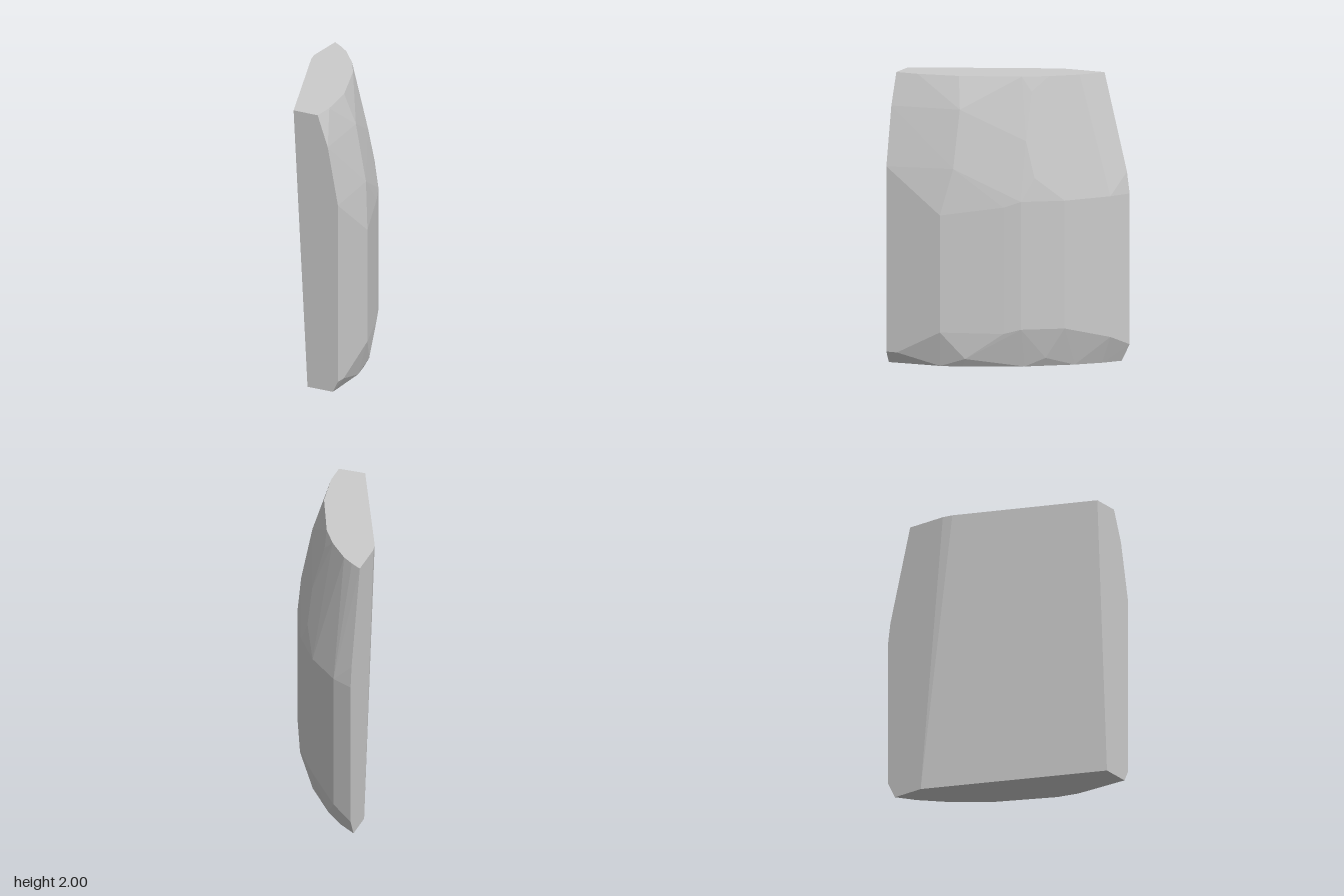
import * as THREE from 'three';
import { ConvexGeometry } from 'three/addons/geometries/ConvexGeometry.js';

export function createModel() {
  const group = new THREE.Group();
  const points = [];
  const add = (x, y, z) => points.push(new THREE.Vector3(x, y, z));

  // flat outline of the top, [x, z]
  const top = [
    [0.03, 0.74], [0.22, 0.74], [0.22, 0.58], [0.17, 0.29], [0.01, -0.11], [-0.09, -0.27],
    [-0.23, -0.435], [-0.31, -0.5], [-0.385, -0.55], [-0.385, -0.27], [-0.37, -0.2],
  ];
  top.forEach(([x, z]) => add(x, 2, z));

  // flat outline of the base, [x, z]
  const base = [
    [0.14, 0.74], [0.34, 0.74], [0.32, 0.36], [0.28, 0.21], [0.09, -0.17],
    [-0.12, -0.45], [-0.26, -0.59], [-0.385, -0.68], [-0.385, -0.46],
  ];
  base.forEach(([x, z]) => add(x, 0, z));

  // upright outer wall: [x, z, lower y, upper y]
  const wall = [
    [0.38, 0.74, 0.08, 1.37], [0.38, 0.66, 0.08, 1.3], [0.38, 0.335, 0.245, 1.06],
    [0.22, -0.07, 0.24, 1.12], [0.17, -0.18, 0.27, 1.16], [0, -0.43, 0.27, 1.16],
    [-0.235, -0.665, 0.19, 1.17], [-0.385, -0.74, 0.12, 1.17],
  ];
  for (const [x, z, low, high] of wall) {
    add(x, low, z);
    add(x, high, z);
  }

  // rounded shoulder between wall and top, [x, y, z]
  const shoulder = [
    [0.3, 1.78, 0.74], [0.325, 1.38, 0.26], [0.24, 1.78, 0.25], [0.1, 1.32, -0.25],
    [0.09, 1.57, -0.18], [0, 1.9, -0.18], [-0.1, 1.24, -0.5], [-0.18, 1.24, -0.58],
    [-0.385, 1.32, -0.72],
  ];
  shoulder.forEach((p) => add(...p));

  // rounded lower edge, [x, y, z]
  const lowerEdge = [[0.305, 0.06, 0.18], [0.03, 0.06, -0.3]];
  lowerEdge.forEach((p) => add(...p));

  const slab = new THREE.Mesh(
    new ConvexGeometry(points),
    new THREE.MeshStandardMaterial({ color: 0xcccccc, flatShading: true })
  );
  slab.name = 'curvedSlab';
  group.add(slab);
  return group;
}
